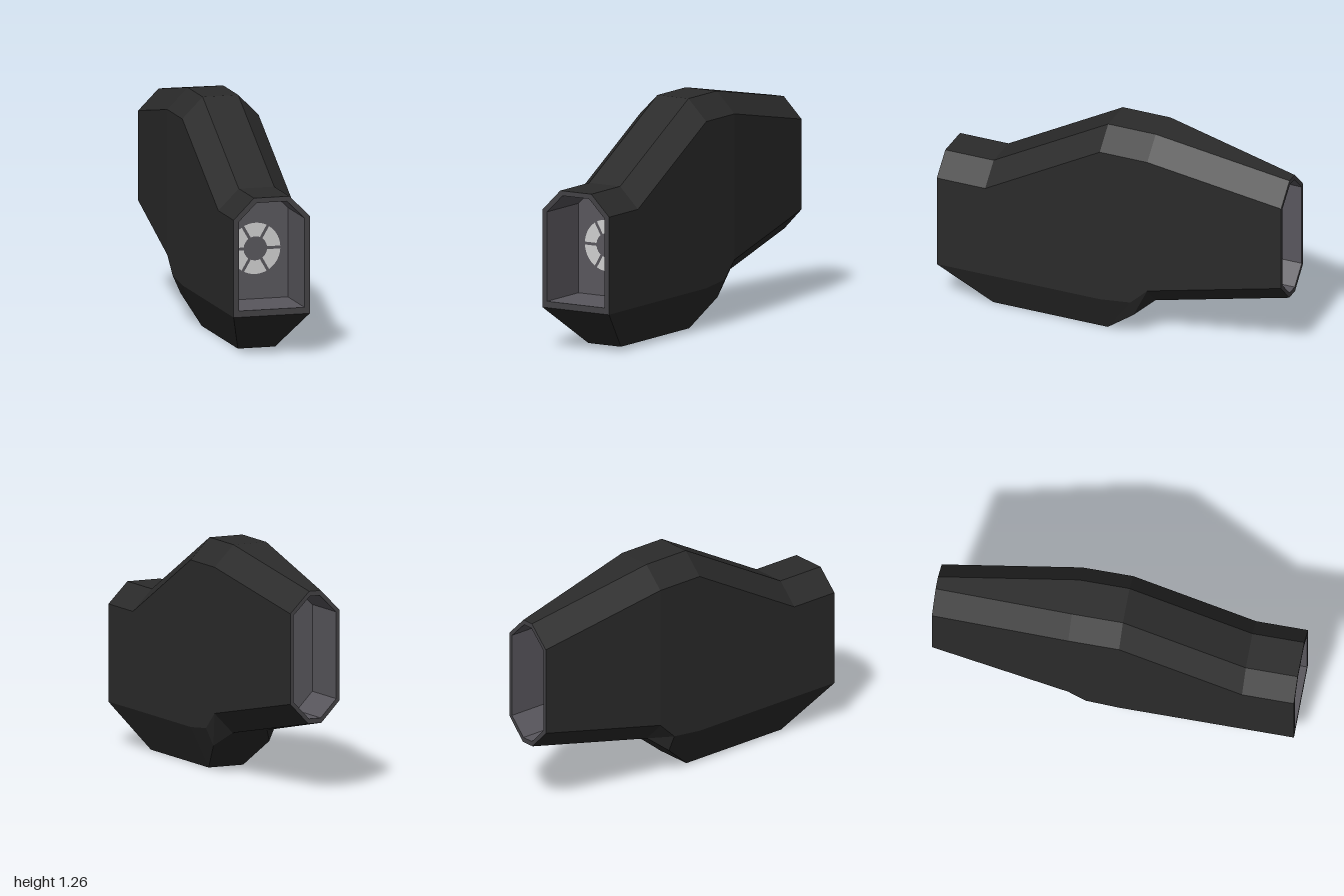
import * as THREE from 'three';

const shellMat = new THREE.MeshStandardMaterial({ name: 'charcoal shell', color: 0x2b2b2b });
const rimMat = new THREE.MeshStandardMaterial({ name: 'dark grey rim', color: 0x434245 });
const innerMat = new THREE.MeshStandardMaterial({ name: 'grey interior', color: 0x59575d });
const lightMat = new THREE.MeshStandardMaterial({ name: 'pale light', color: 0xd0d0d0 });

// Eight-sided mirrored section: half widths at bottom, sides and top, then the four heights
function section(z, bottomX, sideX, topX, y0, y1, y2, y3) {
  const half = [[bottomX, y0], [sideX, y1], [sideX, y2], [topX, y3]];
  const ring = [...half, ...half.map(([x, y]) => [-x, y]).reverse()];
  return ring.map(([x, y]) => new THREE.Vector3(x, y, z));
}

// Faceted skin through a list of sections
function loft(rings) {
  const pts = [];
  for (let i = 0; i < rings.length - 1; i++) {
    const a = rings[i], b = rings[i + 1];
    for (let j = 0; j < a.length; j++) {
      const k = (j + 1) % a.length;
      pts.push(a[j], b[j], b[k], a[j], b[k], a[k]);
    }
  }
  return new THREE.BufferGeometry().setFromPoints(pts);
}

function cap(ring) {
  return new THREE.ShapeGeometry(new THREE.Shape(ring.map(p => new THREE.Vector2(p.x, p.y))));
}

function atDepth(ring, z) {
  return ring.map(p => new THREE.Vector3(p.x, p.y, z));
}

export function createModel() {
  const model = new THREE.Group();
  model.name = 'housing';
  const add = (name, geometry, material) => {
    if (!geometry.attributes.normal) geometry.computeVertexNormals();
    const mesh = new THREE.Mesh(geometry, material);
    mesh.name = name;
    model.add(mesh);
    return mesh;
  };

  // Outer shell, front to back
  const front = section(1, 0.2149, 0.215, 0.1, 0.229, 0.23, 0.765, 0.88);
  const back = section(-1, 0.04, 0.15, 0.035, 0.385, 0.5, 0.995, 1.11);
  add('outerShell', loft([
    front,
    section(0.715, 0.105, 0.215, 0.1, 0, 0.23, 0.765, 0.88),
    section(0.04, 0.105, 0.215, 0.1, 0, 0.23, 1.145, 1.26),
    section(-0.14, 0.17, 0.215, 0.1, 0.15, 0.25, 1.145, 1.26),
    section(-0.24, 0.105, 0.215, 0.1, 0.23, 0.345, 1.145, 1.26),
    back,
  ]), shellMat);

  // Front opening: rim, walls and end plate
  const frontInner = section(1, 0.1849, 0.185, 0.085, 0.264, 0.265, 0.755, 0.853);
  const plateZ = 0.69;
  add('frontRim', loft([frontInner, front]), rimMat);
  add('frontCavity', loft([atDepth(frontInner, plateZ), frontInner]), innerMat);
  add('frontPlate', cap(frontInner), innerMat).position.z = plateZ;

  // Rear opening
  const backInner = section(-1, 0.035, 0.13, 0.03, 0.412, 0.51, 0.985, 1.083);
  const rearZ = -0.72;
  add('rearRim', loft([back, backInner]), rimMat);
  add('rearCavity', loft([backInner, atDepth(backInner, rearZ)]), innerMat);
  const rearPlate = add('rearPlate', cap(backInner), innerMat);
  rearPlate.rotation.y = Math.PI;
  rearPlate.position.z = rearZ;

  // Ring of six light segments with even gaps
  const inner = 0.066, outer = 0.141, gap = 0.008;
  const ringGroup = new THREE.Group();
  ringGroup.name = 'lightRing';
  ringGroup.position.set(0, 0.542, plateZ + 0.004);
  for (let i = 0; i < 6; i++) {
    const start = i * Math.PI / 3, end = start + Math.PI / 3;
    const go = gap / outer, gi = gap / inner;
    const shape = new THREE.Shape();
    shape.absarc(0, 0, outer, start + go, end - go, false);
    shape.absarc(0, 0, inner, end - gi, start + gi, true);
    const segment = new THREE.Mesh(new THREE.ShapeGeometry(shape, 10), lightMat);
    segment.name = 'lightSegment';
    ringGroup.add(segment);
  }
  model.add(ringGroup);
  return model;
}
